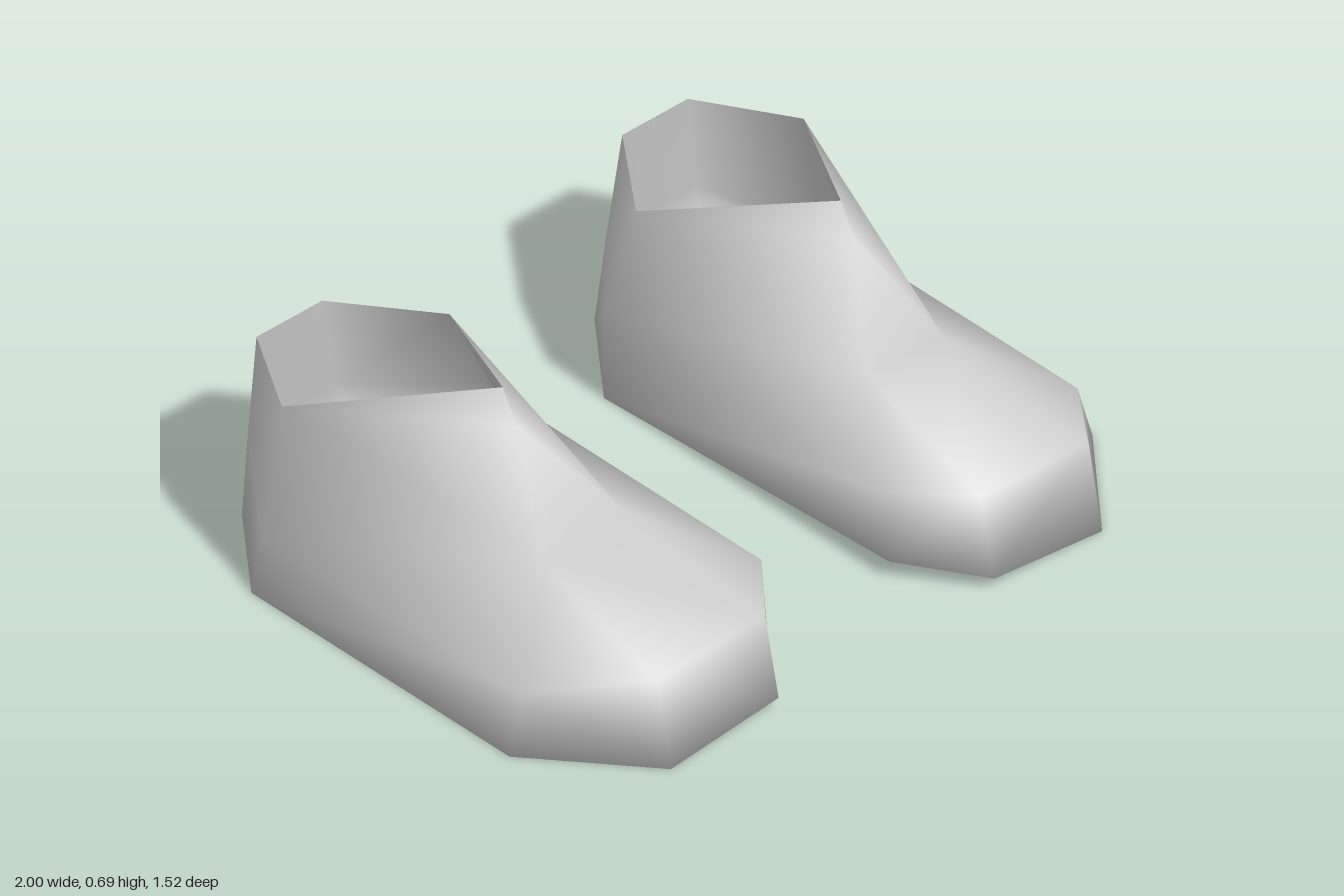
import * as THREE from 'three';

// Loops run: heel outer, outer back, outer front, toe outer, toe inner, inner front, inner back, heel inner
const SOLE = [[.79, 0, -.76], [1, 0, -.5], [1, 0, .45], [.74, 0, .765], [.37, .037, .765], [.21, .055, .55], [.21, 0, -.5], [.42, 0, -.76]];
const SIDE = [[.77, .24, -.76], [.965, .15, -.5], [.95, .17, .45], [.74, .25, .715], [.37, .265, .715], [.21, .26, .53], [.21, .26, -.5], [.46, .24, -.76]];
// Collar corners, instep corners, throat and tongue peak
const UPPER = [[.74, .527, -.76], [.895, .527, -.5], [.69, .345, .24], [.42, .37, .24], [.32, .527, -.5], [.515, .527, -.76], [.58, .59, .025], [.58, .685, -.025]];

// Smooth normals weighted by corner angle, so the broad sole does not pull the walls down
function angleNormals(points, index) {
  const normals = points.map(() => new THREE.Vector3());
  for (let t = 0; t < index.length; t += 3) {
    for (let k = 0; k < 3; k++) {
      const [a, b, c] = [0, 1, 2].map((n) => index[t + (k + n) % 3]);
      const u = points[b].clone().sub(points[a]);
      const v = points[c].clone().sub(points[a]);
      normals[a].addScaledVector(u.clone().cross(v).normalize(), u.angleTo(v));
    }
  }
  return normals.flatMap((n) => n.normalize().toArray());
}

function shoeGeometry(side) {
  const points = [...SOLE, ...SIDE, ...UPPER].map(([x, y, z]) => new THREE.Vector3(x * side, y, z));
  const index = [];
  const tri = (a, b, c) => {
    if (a === b || b === c || a === c) return;
    index.push(...(side > 0 ? [a, b, c] : [a, c, b]));
  };
  const bottom = [0, 1, 2, 3, 4, 5, 6, 7];
  const middle = bottom.map((i) => i + 8);
  const top = [16, 17, 18, 18, 19, 19, 20, 21]; // toe and flank points meet at the instep

  // Walls between successive loops; the outer flank folds in towards the instep
  for (const [lo, hi] of [[bottom, middle], [middle, top]]) {
    for (let i = 0; i < 8; i++) {
      const j = (i + 1) % 8;
      if (i === 1) {
        tri(lo[i], hi[j], lo[j]);
        tri(lo[i], hi[i], hi[j]);
      } else {
        tri(lo[i], hi[i], lo[j]);
        tri(lo[j], hi[i], hi[j]);
      }
    }
  }

  // Instep rising to the throat, then the tongue peak
  const throat = 22, peak = 23;
  tri(17, throat, 18);
  tri(18, throat, 19);
  tri(19, throat, 20);
  tri(17, peak, throat);
  tri(throat, peak, 20);

  // Sole
  for (let i = 1; i < 7; i++) tri(0, i, i + 1);

  const geometry = new THREE.BufferGeometry();
  geometry.setFromPoints(points);
  geometry.setIndex(index);
  geometry.setAttribute('normal', new THREE.Float32BufferAttribute(angleNormals(points, index), 3));
  return geometry;
}

export function createModel() {
  const group = new THREE.Group();
  group.name = 'shoes';
  const grey = new THREE.MeshStandardMaterial({ color: 0xcccccc, side: THREE.DoubleSide });
  grey.name = 'light grey';
  for (const [name, side] of [['leftShoe', 1], ['rightShoe', -1]]) {
    const shoe = new THREE.Mesh(shoeGeometry(side), grey);
    shoe.name = name;
    group.add(shoe);
  }
  return group;
}
